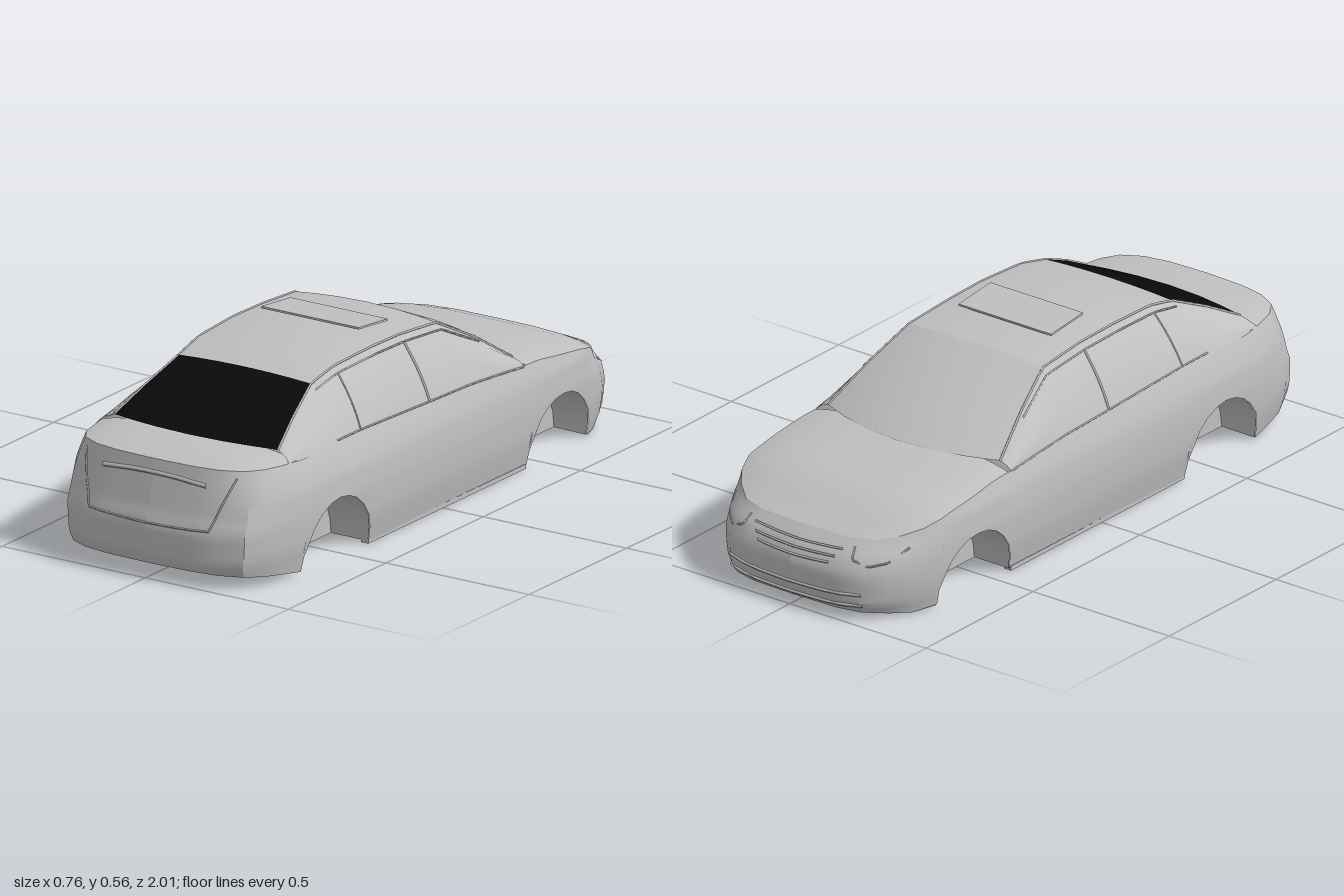
import * as THREE from 'three';
import { toCreasedNormals } from 'three/addons/utils/BufferGeometryUtils.js';

// Piecewise linear lookup in a sorted list of [key, value]
function lerpTable(table, k) {
  if (k <= table[0][0]) return table[0][1];
  for (let i = 1; i < table.length; i++) {
    const [k0, v0] = table[i - 1], [k1, v1] = table[i];
    if (k <= k1) return v0 + (v1 - v0) * (k - k0) / (k1 - k0);
  }
  return table[table.length - 1][1];
}

const WIDTH = [[-0.76, 0.367], [-0.6, 0.378], [-0.4, 0.378], [0, 0.38], [0.4, 0.382], [0.7, 0.378], [0.8, 0.365]];
const TAPER = [[0.02, 0.94], [0.06, 0.96], [0.12, 0.99], [0.21, 1], [0.28, 0.985], [0.33, 0.945], [0.37, 0.9]];
const TOP = [[-1, 0.25], [-0.92, 0.268], [-0.85, 0.283], [-0.76, 0.3], [-0.5, 0.333], [-0.4, 0.336],
  [0, 0.345], [0.4, 0.36], [0.8, 0.365], [0.95, 0.37], [1, 0.372]];
const BOTTOM = [[-1, 0.045], [-0.85, 0.025], [-0.76, 0.03], [0.72, 0.03], [0.95, 0.06], [1, 0.065]];
const NOSE_INSET = [[0.03, 0.03], [0.07, 0], [0.16, 0], [0.21, 0.025], [0.25, 0.07], [0.28, 0.085]];
const TAIL_INSET = [[0.05, 0.02], [0.09, 0], [0.19, 0], [0.22, 0.015], [0.37, 0.05]];
const NOSE = [[0, -1], [0.16, -0.995], [0.24, -0.975], [0.3, -0.92], [0.34, -0.85]];
const TAIL = [[0, 1], [0.15, 0.995], [0.24, 0.98], [0.31, 0.945], [0.345, 0.88], [0.362, 0.8]];
const ARCHES = [{ name: 'front', c: -0.595, r: 0.165, h: 0.178 }, { name: 'rear', c: 0.555, r: 0.17, h: 0.185 }];

const archPoints = ({ c, r, h }) => Array.from({ length: 13 }, (_, k) => {
  const a = Math.PI * k / 12;
  return [c - r * Math.cos(a), 0.03 + h * Math.sin(a)];
});

// Place a plan point at height y, with tapered sides and leaning ends
function skin(x, z, y) {
  const inset = lerpTable(z < 0 ? NOSE_INSET : TAIL_INSET, y);
  const w = Math.min(1, Math.max(0, (Math.abs(z) - 0.7) / 0.25));
  return [x * lerpTable(TAPER, y), y, z - Math.sign(z) * inset * w];
}
const endPoint = (plan, x, y, out = 0.002) => {
  const z = lerpTable(plan, Math.abs(x) / lerpTable(TAPER, y));
  const p = skin(0, z, y);
  return [x, y, p[2] + Math.sign(z) * out];
};
const flip = rows => rows.map(r => r.map(([x, y, z]) => [-x, y, z]).reverse());

// Surface through equal rows of points
function loft(rows) {
  const n = rows[0].length, index = [];
  for (let i = 0; i < rows.length - 1; i++)
    for (let j = 0; j < n - 1; j++) {
      const a = i * n + j;
      index.push(a, a + 1, a + n, a + 1, a + n + 1, a + n);
    }
  const g = new THREE.BufferGeometry();
  g.setAttribute('position', new THREE.Float32BufferAttribute(rows.flat(2), 3));
  g.setIndex(index);
  return toCreasedNormals(g, 0.55);
}

export function createModel() {
  const car = new THREE.Group();
  car.name = 'sedanBodyShell';
  const paint = new THREE.MeshStandardMaterial({ color: 0xc0c0c0, side: THREE.DoubleSide });
  paint.name = 'grey paint';
  const glass = new THREE.MeshStandardMaterial({ color: 0x0a0a0a, side: THREE.DoubleSide });
  glass.name = 'black glass';

  const add = (name, geometry, material = paint) => {
    const mesh = new THREE.Mesh(geometry, material);
    mesh.name = name;
    car.add(mesh);
    return mesh;
  };
  const addPair = (name, rows) => {
    add(name + 'Left', loft(rows));
    add(name + 'Right', loft(flip(rows)));
  };
  const addBead = (name, points, radius = 0.003) => {
    const path = new THREE.CurvePath();
    const v = points.map(p => new THREE.Vector3(...p));
    for (let i = 1; i < v.length; i++) path.add(new THREE.LineCurve3(v[i - 1], v[i]));
    add(name, new THREE.TubeGeometry(path, points.length * 4, radius, 4));
  };
  const addBeadPair = (name, points, radius) => {
    addBead(name + 'Left', points, radius);
    addBead(name + 'Right', points.map(([x, y, z]) => [-x, y, z]), radius);
  };

  // Lower body sides wrapped from nose to tail, cut out over the wheels
  const side = z => [lerpTable(WIDTH, z), z, lerpTable(BOTTOM, z)];
  const arch = a => archPoints(a).map(([z, y]) => [lerpTable(WIDTH, z), z, y]);
  const ends = plan => plan.map(([x, z]) => [x, z, lerpTable(BOTTOM, z)]);
  const columns = [...ends(NOSE), ...arch(ARCHES[0]), ...[-0.3, -0.14, 0.05, 0.2, 0.33].map(side),
    ...arch(ARCHES[1]), ...ends(TAIL).reverse()];
  const LEVELS = 12;
  addPair('bodySide', columns.map(([x, z, low]) => Array.from({ length: LEVELS + 1 }, (_, j) =>
    skin(x, z, low + (lerpTable(TOP, z) - low) * j / LEVELS))));

  // Crowned bonnet and boot lid
  const across = [1, 0.94, 0.85, 0.7, 0.4, 0, -0.4, -0.7, -0.85, -0.94, -1];
  const deckRow = ([x, z]) => {
    const [ex, ey, ez] = skin(x, z, lerpTable(TOP, z));
    const crown = 0.026 * Math.min(1, (1 - Math.abs(z)) / 0.12);
    return across.map(u => [ex * u, ey + crown * (1 - u ** 4), ez]);
  };
  add('bonnet', loft(columns.filter(c => c[1] < -0.42).map(deckRow)));
  add('bootLid', loft(columns.filter(c => c[1] > 0.72).map(deckRow)));

  // Roof rail: x, y, z, then crown height and lengthwise bow at the centre
  const rail = [
    [0.315, 0.357, -0.42, 0.004, -0.08], [0.28, 0.45, -0.28, 0.012, -0.045], [0.245, 0.53, -0.13, 0.012, -0.012],
    [0.24, 0.544, 0.05, 0.015, 0], [0.24, 0.547, 0.2, 0.015, 0], [0.235, 0.54, 0.38, 0.012, 0],
    [0.23, 0.515, 0.49, 0.008, 0], [0.257, 0.457, 0.62, 0.006, 0.015], [0.285, 0.394, 0.74, 0.002, 0.035]];
  const roofRow = ([x, y, z, crown, bow]) =>
    across.map(u => [x * u, y + crown * (1 - u * u), z + bow * (1 - u * u)]);
  add('windscreen', loft(rail.slice(0, 3).map(roofRow)));
  add('roof', loft(rail.slice(2, 7).map(roofRow)));
  add('rearWindow', loft(rail.slice(6).map(roofRow)), glass);

  // Cabin sides from the belt line up to the rail
  const baseZ = [-0.42, -0.3, -0.16, 0.05, 0.2, 0.4, 0.52, 0.65, 0.76];
  const cabin = (i, v, out = 0) => {
    const y = lerpTable(TOP, baseZ[i]);
    const b = [lerpTable(WIDTH, baseZ[i]) * lerpTable(TAPER, y), y - 0.004, baseZ[i]];
    const p = b.map((q, k) => q + (rail[i][k] - q) * v);
    p[0] += 0.05 * v * (1 - v) + out;
    return p;
  };
  addPair('cabinSide', rail.map((_, i) => [0, 0.2, 0.4, 0.6, 0.8, 1].map(v => cabin(i, v))));

  // Window frames, centre pillars and roof gutters
  const run = (from, to, v) => Array.from({ length: to - from + 1 }, (_, k) => cabin(from + k, v, 0.001));
  const rise = i => [0.08, 0.3, 0.5, 0.7, 0.9].map(v => cabin(i, v, 0.001));
  addBeadPair('beltMoulding', run(0, 6, 0.08));
  addBeadPair('windowTopFrame', run(1, 6, 0.9));
  addBeadPair('centrePillar', rise(3), 0.005);
  addBeadPair('rearWindowPost', rise(5));
  addBeadPair('roofGutter', run(0, 8, 1), 0.004);

  // Sunroof panel raised at its rear edge
  const sunroof = add('sunroof', new THREE.BoxGeometry(0.34, 0.006, 0.15));
  sunroof.position.set(0, 0.569, 0.08);
  sunroof.rotation.x = -0.1;

  // Wheel housings with closed inner walls
  for (const a of ARCHES) {
    const pts = archPoints(a), inner = 0.23;
    const outline = x => pts.map(([z, y]) => [x, y, z]);
    const outer = pts.map(([z, y]) => skin(lerpTable(WIDTH, z) - 0.002, z, y));
    addPair(a.name + 'WheelHousing', [outer, outline(inner), pts.map(([z]) => [inner, 0.03, z])]);
  }

  // Front and rear floor pans; the middle stays open
  const pan = pts => loft(pts.map(([x, y, z]) => [[x, y, z], [-x, y, z]]));
  const lowEdge = plan => plan.map(([x, z]) => skin(x, z, lerpTable(BOTTOM, z)));
  add('frontFloor', pan([...lowEdge(NOSE), [0.35, 0.03, -0.76], [0.23, 0.03, -0.758], [0.23, 0.03, -0.43]]));
  add('rearFloor', pan([...lowEdge(TAIL), [0.35, 0.03, 0.727], [0.23, 0.03, 0.725], [0.23, 0.03, 0.39]]));

  // Sills
  for (const s of [1, -1]) {
    const sill = add(s > 0 ? 'sillLeft' : 'sillRight', new THREE.BoxGeometry(0.025, 0.014, 0.81));
    sill.position.set(s * 0.348, 0.029, -0.02);
  }

  // Beads on the tail: lamp edges, lid seam, handle and bumper step
  const tail = (x, y, o) => endPoint(TAIL, x, y, o);
  const nose = (x, y, o) => endPoint(NOSE, x, y, o);
  const span = (f, w, y, sag = 0) => [-1, -0.75, -0.5, -0.25, 0, 0.25, 0.5, 0.75, 1].map(u => f(u * w, y + sag * (1 - u * u)));
  addBeadPair('tailLampEdge', [0.35, 0.31, 0.27, 0.23, 0.2].map(y => tail(0.21 + (y - 0.2) * 0.35, y)));
  addBead('bootSeam', span(tail, 0.21, 0.197, -0.005));
  addBead('bootHandle', span(tail, 0.18, 0.322, 0.012), 0.007);

  // Beads on the nose: grille bars, lower intake and headlamp edges
  [0.185, 0.205, 0.225].forEach((y, i) => addBead('grilleBar' + (i + 1), span(nose, 0.13 + i * 0.015, y, -0.006), 0.004));
  [0.07, 0.105].forEach((y, i) => addBead('lowerIntakeBar' + (i + 1), span(nose, 0.24, y, -0.008), 0.005));
  addBeadPair('headlampEdge', [[0.19, 0.235], [0.2, 0.205], [0.25, 0.19], [0.29, 0.2], [0.32, 0.235]].map(([x, y]) => nose(x, y)));

  return car;
}
